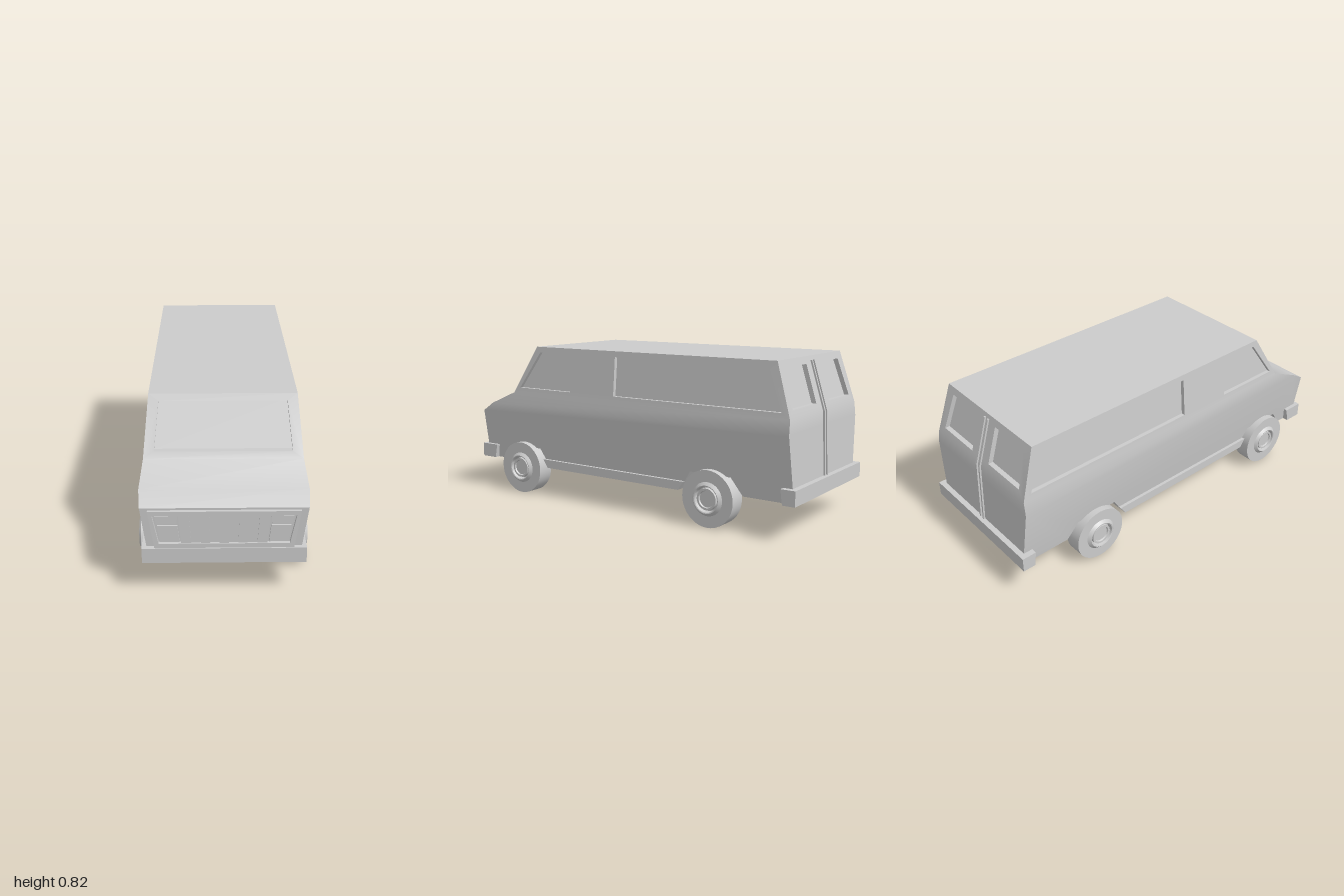
import * as THREE from 'three';
import { mergeGeometries, toCreasedNormals } from 'three/addons/utils/BufferGeometryUtils.js';

const material = new THREE.MeshStandardMaterial({ color: 0xcccccc, side: THREE.DoubleSide });

// Piecewise linear lookup in [y, value] pairs of rising y
const lookup = (table) => (y) => {
  let i = 1;
  while (i < table.length - 1 && y > table[i][0]) i++;
  const [y0, a] = table[i - 1], [y1, b] = table[i];
  return a + (b - a) * (y - y0) / (y1 - y0);
};
const halfWidth = lookup([[0.15, 0.337], [0.24, 0.349], [0.49, 0.382], [0.56, 0.37], [0.82, 0.347]]);
const frontZ = lookup([[0.17, 0.975], [0.44, 0.98], [0.49, 0.9], [0.56, 0.74], [0.82, 0.58]]);
const rearZ = lookup([[0.17, -0.975], [0.56, -0.96], [0.82, -0.88]]);

const shapeOf = (pts) => new THREE.Shape(pts.map(([x, y]) => new THREE.Vector2(x, y)));

// Build a quad soup from 3D corner lists
function quads(list) {
  const pos = [];
  for (const [a, b, c, d] of list) pos.push(...a, ...b, ...c, ...a, ...c, ...d);
  const geo = new THREE.BufferGeometry();
  geo.setAttribute('position', new THREE.Float32BufferAttribute(pos, 3));
  return geo;
}

// Flat shape placed on the body by map(u, v, depth)
function mapped(shape, map, depth) {
  const geo = new THREE.ShapeGeometry(shape).toNonIndexed();
  const p = geo.attributes.position;
  for (let i = 0; i < p.count; i++) p.setXYZ(i, ...map(p.getX(i), p.getY(i), depth));
  geo.deleteAttribute('uv');
  geo.deleteAttribute('normal');
  return geo;
}

// Panel with recessed windows: skin, reveals and panes
function panel(map, outline, windows = [], depth = 0.02) {
  const flip = (pts) => (THREE.ShapeUtils.area(pts.map(([x, y]) => ({ x, y }))) < 0 ? [...pts].reverse() : pts);
  const skin = shapeOf(flip(outline));
  const parts = [];
  for (const win of windows.map(flip)) {
    skin.holes.push(shapeOf(win));
    parts.push(mapped(shapeOf(win), map, depth));
    parts.push(quads(win.map((a, i) => {
      const b = win[(i + 1) % win.length];
      return [map(...a, 0), map(...b, 0), map(...b, depth), map(...a, depth)];
    })));
  }
  return [mapped(skin, map, 0), ...parts];
}

// Cross strips that join both sides along [z, y] points
const strips = (pts) => quads(pts.slice(1).map((q, i) => {
  const p = pts[i], wp = halfWidth(p[1]), wq = halfWidth(q[1]);
  return [[-wp, p[1], p[0]], [wp, p[1], p[0]], [wq, q[1], q[0]], [-wq, q[1], q[0]]];
}));

function bodyGeometry() {
  const parts = [];
  // Underside with full-width wheel arches, rear to front
  const bottom = [[-0.975, 0.17], [-0.71, 0.17], [-0.65, 0.255], [-0.42, 0.255], [-0.355, 0.155],
    [0.51, 0.155], [0.57, 0.255], [0.79, 0.255], [0.85, 0.17], [0.975, 0.17]];
  // Sides in three bands
  const lower = [...bottom, [0.98, 0.44], [0.9, 0.49], [rearZ(0.49), 0.49]];
  const middle = [[rearZ(0.49), 0.49], [0.9, 0.49], [0.74, 0.56], [-0.96, 0.56]];
  const upper = [[-0.96, 0.56], [0.74, 0.56], [0.58, 0.82], [-0.88, 0.82]];
  const sideWindows = [
    [[0.695, 0.59], [0.555, 0.79], [0.33, 0.79], [0.33, 0.59]],
    [[0.04, 0.59], [0.04, 0.79], [-0.84, 0.79], [-0.915, 0.59]],
  ];
  for (const s of [-1, 1]) {
    const map = (u, v, d) => [s * (halfWidth(v) - d), v, -s * u];
    const turn = (pts) => pts.map(([z, y]) => [-s * z, y]);
    parts.push(...panel(map, turn(lower)), ...panel(map, turn(middle)));
    parts.push(...panel(map, turn(upper), sideWindows.map(turn)));
  }
  // Nose, roof, lower tail and floor
  parts.push(strips([[0.975, 0.17], [0.98, 0.44], [0.9, 0.49], [0.74, 0.56]]));
  parts.push(strips([[0.58, 0.82], [-0.88, 0.82]]));
  parts.push(strips([[-0.96, 0.56], [rearZ(0.49), 0.49], [-0.975, 0.17]]));
  parts.push(strips(bottom));
  // Windscreen and back door windows
  const band = [[-0.37, 0.56], [0.37, 0.56], [0.347, 0.82], [-0.347, 0.82]];
  parts.push(...panel((u, v, d) => [u, v, frontZ(v) - d], band,
    [[[-0.32, 0.59], [0.32, 0.59], [0.3, 0.79], [-0.3, 0.79]]], 0.03));
  parts.push(...panel((u, v, d) => [-u, v, rearZ(v) + d], band, [-1, 1].map((s) =>
    [[s * 0.07, 0.6], [s * 0.32, 0.6], [s * 0.295, 0.785], [s * 0.07, 0.785]]), 0.025));
  return toCreasedNormals(mergeGeometries(parts), 0.65);
}

function add(parent, name, geo) {
  const mesh = new THREE.Mesh(geo, material);
  mesh.name = name;
  parent.add(mesh);
  return mesh;
}

// Solid with a front outline in x, y between two depths
function slab(pts, z0, z1, hole) {
  const shape = shapeOf(pts);
  if (hole) shape.holes.push(shapeOf(hole));
  return new THREE.ExtrudeGeometry(shape, { depth: z1 - z0, bevelEnabled: false }).translate(0, 0, z0);
}

// Solid with a side outline in z, y, centred across x
function crossBar(pts, width, x = 0) {
  return slab(pts.map(([z, y]) => [-z, y]), -width / 2, width / 2).rotateY(Math.PI / 2).translate(x, 0, 0);
}

function grille() {
  const group = new THREE.Group();
  group.name = 'grille';
  const outer = [[-0.312, 0.24], [0.312, 0.24], [0.34, 0.43], [-0.34, 0.43]];
  const inner = [[-0.293, 0.267], [0.293, 0.267], [0.32, 0.407], [-0.32, 0.407]];
  add(group, 'grilleFrame', slab(outer, 0.96, 0.995, inner));
  // Alternate raised slats, leaning with the frame
  const edges = [0.022, 0.067, 0.11, 0.157, 0.205];
  const x = [...edges.map((e) => -e).reverse(), ...edges];
  for (let i = 0; i < x.length - 1; i++) {
    const a = x[i], b = x[i + 1];
    add(group, 'slat', slab([[a * 0.94, 0.267], [b * 0.94, 0.267], [b, 0.407], [a, 0.407]], 0.96, i % 2 ? 0.984 : 0.99));
  }
  // Upper marker and lower headlamp on each side
  for (const s of [-1, 1]) {
    add(group, 'markerLamp', slab([[s * 0.212, 0.364], [s * 0.303, 0.364], [s * 0.309, 0.402], [s * 0.208, 0.402]], 0.96, 0.988));
    add(group, 'headlamp', slab([[s * 0.2, 0.272], [s * 0.288, 0.272], [s * 0.298, 0.355], [s * 0.208, 0.355]], 0.96, 0.988));
  }
  return group;
}

function wheel() {
  const profile = [[0, 0.3], [0.142, 0.3], [0.142, 0.388], [0.084, 0.388], [0.078, 0.394], [0.069, 0.402],
    [0.064, 0.4], [0.06, 0.375], [0.055, 0.375], [0.053, 0.396], [0.043, 0.396], [0.04, 0.388], [0, 0.388]];
  const geo = new THREE.LatheGeometry(profile.map(([r, h]) => new THREE.Vector2(r, h)), 40);
  return toCreasedNormals(geo.rotateZ(-Math.PI / 2), 0.5);
}

export function createModel() {
  const van = new THREE.Group();
  van.name = 'van';
  add(van, 'body', bodyGeometry());
  van.add(grille());

  add(van, 'frontBumper', crossBar([[0.905, 0.17], [1, 0.17], [1, 0.245], [0.89, 0.245]], 0.74));
  add(van, 'rearBumper', crossBar([[-0.935, 0.17], [-1, 0.17], [-1, 0.245], [-0.925, 0.245]], 0.76));

  // Raised twin trim where the back doors meet
  const trim = [[-0.97, 0.245], [-0.981, 0.245], [-0.969, 0.56], [-0.895, 0.8], [-0.88, 0.8], [-0.95, 0.56]];
  for (const s of [-1, 1]) {
    add(van, 'doorTrim', crossBar(trim, 0.01, s * 0.013));
    // Sill step between the wheels
    const sill = [[-0.355, 0.155], [0.51, 0.155], [0.54, 0.2], [-0.385, 0.2]];
    add(van, 'sill', crossBar(sill, 0.03, s * 0.345));
  }

  const wheelGeo = wheel();
  for (const [end, z] of [['front', 0.682], ['rear', -0.542]]) {
    for (const [side, turn] of [['Left', 0], ['Right', Math.PI]]) {
      const mesh = add(van, end + side + 'Wheel', wheelGeo);
      mesh.position.set(0, 0.142, z);
      mesh.rotation.y = turn;
    }
  }
  return van;
}
